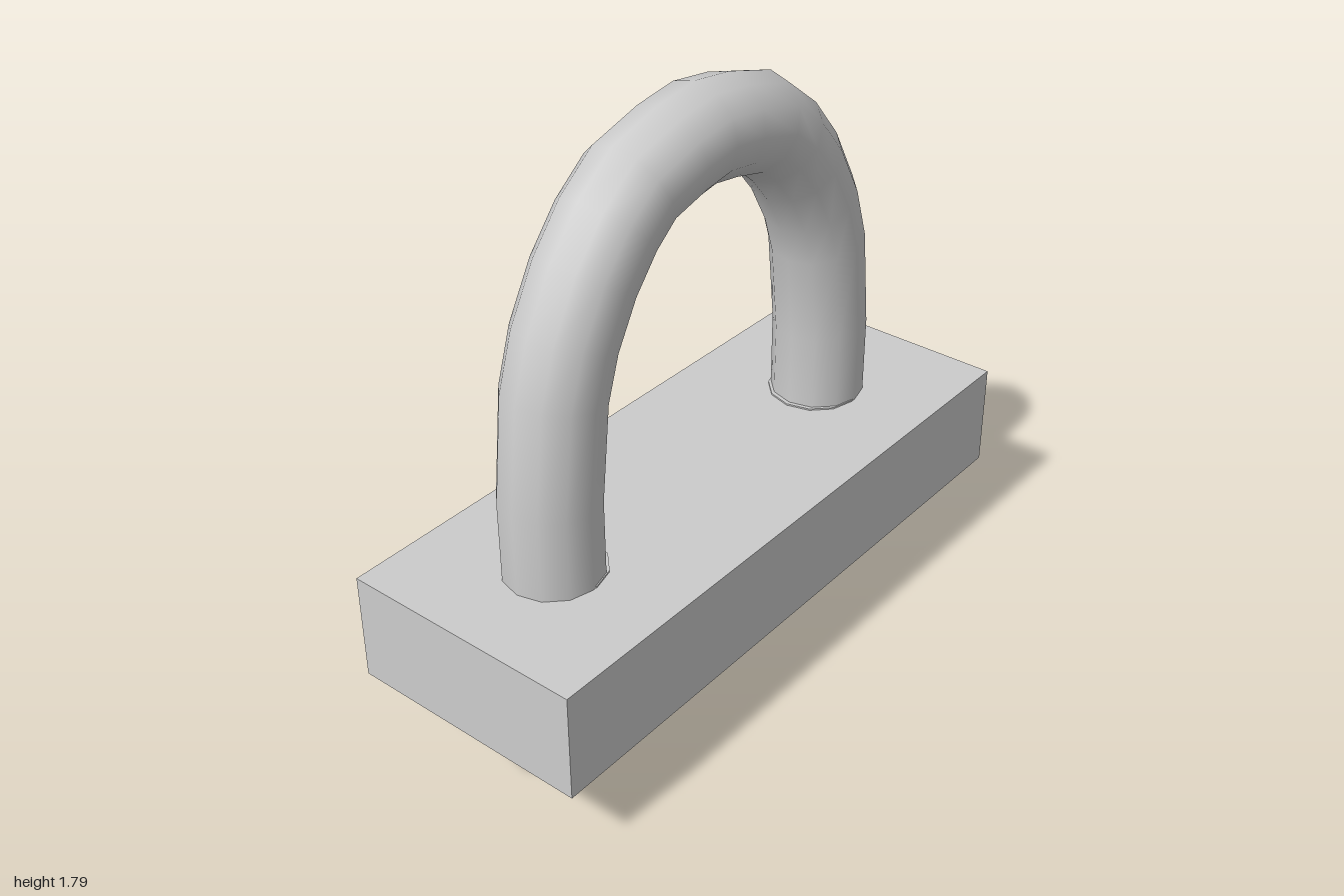
import * as THREE from 'three';

const CENTER_Z = 0.022; // the bow sits slightly forward of the plate centre
const ROD_RADIUS = 0.146;

export function createModel() {
  const group = new THREE.Group();
  const material = new THREE.MeshStandardMaterial({ color: 0xcccccc });

  const add = (name, geometry, x, y, z) => {
    const mesh = new THREE.Mesh(geometry, material);
    mesh.name = name;
    mesh.position.set(x, y, z);
    group.add(mesh);
    return mesh;
  };

  // Flat saddle plate
  add('plate', new THREE.BoxGeometry(0.77, 0.335, 2), 0, 0.3975, 0);

  // Bow: half profile [z, y] from leg to apex, mirrored to the other leg
  const half = [
    [0.61, 0.45], [0.612, 0.57], [0.613, 0.81], [0.58, 1.11], [0.533, 1.255],
    [0.452, 1.4], [0.36, 1.51], [0.265, 1.585], [0.118, 1.625],
  ];
  const profile = [...half, [0, 1.642], ...half.map(([z, y]) => [-z, y]).reverse()];
  const path = new THREE.CatmullRomCurve3(profile.map(([z, y]) => new THREE.Vector3(0, y, z)));
  // Place one tube ring at each profile point
  path.getPointAt = path.getPoint;
  path.getTangentAt = path.getTangent;
  add('bow', new THREE.TubeGeometry(path, profile.length - 1, ROD_RADIUS, 12), 0.002, 0, CENTER_Z);

  // Threaded ends through the plate, each with a seven-sided nut below
  const rodGeometry = new THREE.CylinderGeometry(ROD_RADIUS, ROD_RADIUS, 0.57, 12);
  const nutGeometry = new THREE.CylinderGeometry(0.233, 0.233, 0.21, 7, 1, false, -Math.PI / 2);
  for (const [side, sign] of [['front', 1], ['back', -1]]) {
    const z = CENTER_Z + sign * 0.599;
    add(`${side}RodEnd`, rodGeometry, 0.002, 0.285, z);
    add(`${side}Nut`, nutGeometry, 0, 0.125, z);
  }

  return group;
}
